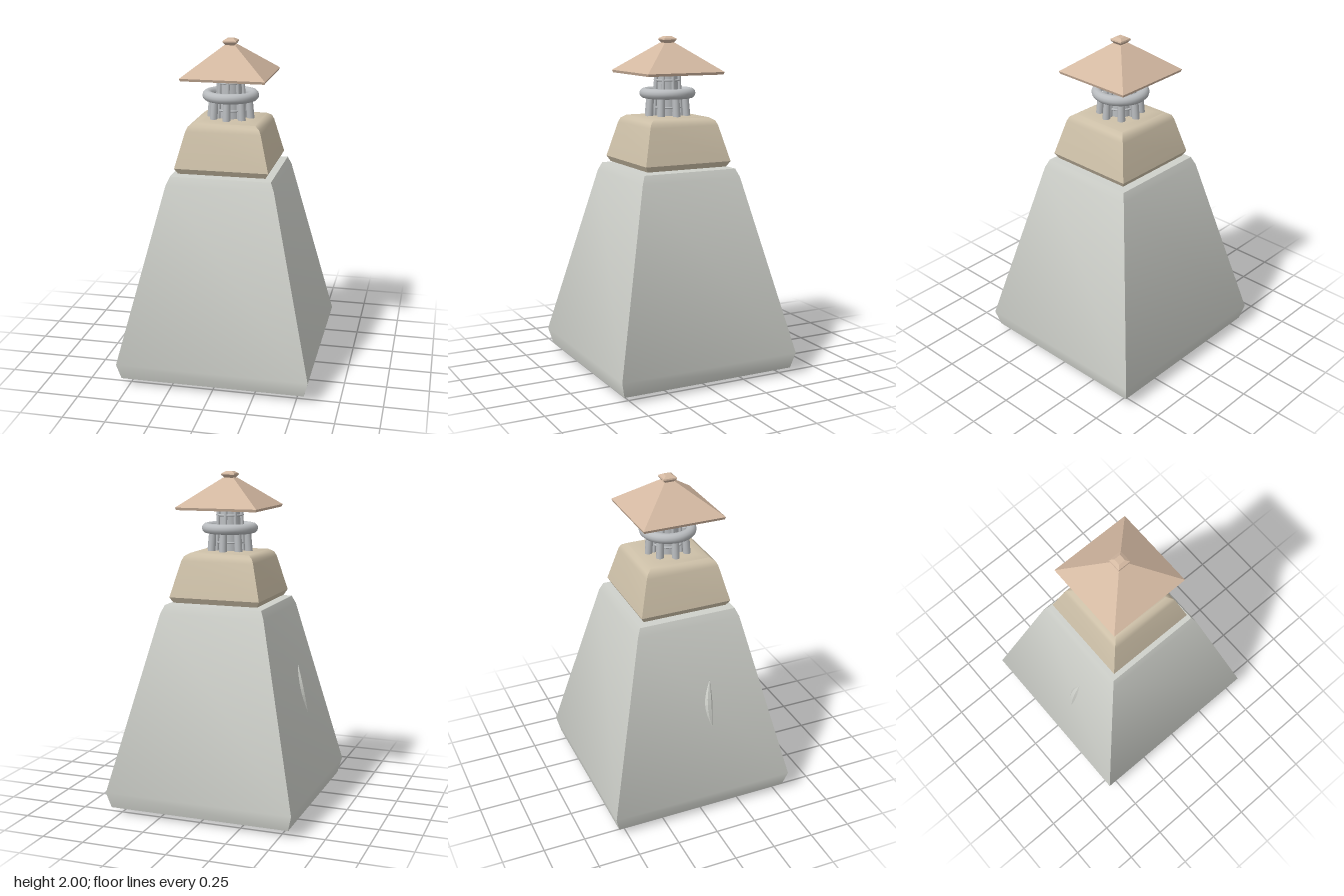
import * as THREE from 'three';
import { toCreasedNormals } from 'three/addons/utils/BufferGeometryUtils.js';

const paint = (color, extra = {}) => new THREE.MeshStandardMaterial({ color, ...extra });
const stone = paint(0xcfd1cb);
const sand = paint(0xcdc0a8);
const clay = paint(0xd3b8a1);
const metal = paint(0xb9bcbf);

function add(parent, name, geometry, material) {
  const mesh = new THREE.Mesh(geometry, material);
  mesh.name = name;
  parent.add(mesh);
  return mesh;
}

// Square tower section from [half width, height] pairs, listed bottom to top
function squareLoft(profile, crease = 0.7) {
  const points = profile.map(([w, y]) => new THREE.Vector2(w * Math.SQRT2, y));
  return toCreasedNormals(new THREE.LatheGeometry(points, 4, Math.PI / 4), crease);
}

// Round bar between two points
function bar(parent, name, a, b, rBottom, rTop) {
  const dir = b.clone().sub(a);
  const mesh = add(parent, name, new THREE.CylinderGeometry(rTop, rBottom, dir.length(), 10), metal);
  mesh.position.copy(a).add(b).multiplyScalar(0.5);
  mesh.quaternion.setFromUnitVectors(new THREE.Vector3(0, 1, 0), dir.normalize());
}

function ring(parent, name, radius, tube, y) {
  const mesh = add(parent, name, new THREE.TorusGeometry(radius, tube, 12, 40), metal);
  mesh.rotation.x = Math.PI / 2;
  mesh.position.y = y;
}

export function createModel() {
  const model = new THREE.Group();
  model.name = 'tower';

  add(model, 'body', squareLoft([
    [0, 0], [0.445, 0], [0.547, 0.04], [0.571, 0.135], [0.318, 1.184], [0.297, 1.232], [0, 1.236],
  ]), stone);

  add(model, 'upperBlock', squareLoft([
    [0, 1.238], [0.258, 1.242], [0.277, 1.275], [0.222, 1.485], [0.21, 1.512], [0.182, 1.53], [0.13, 1.536], [0, 1.537],
  ]), sand);

  // Lantern: core, leaning posts, upper bars and rings
  const lantern = new THREE.Group();
  lantern.name = 'lantern';
  model.add(lantern);
  const core = add(lantern, 'core', new THREE.CylinderGeometry(0.062, 0.075, 0.26, 16), metal);
  core.position.y = 1.66;
  for (let i = 0; i < 8; i++) {
    const a = (i / 8) * Math.PI * 2;
    const at = (r, y) => new THREE.Vector3(Math.sin(a) * r, y, Math.cos(a) * r);
    bar(lantern, 'post', at(0.12, 1.525), at(0.11, 1.66), 0.023, 0.02);
    bar(lantern, 'upperBar', at(0.085, 1.53), at(0.072, 1.79), 0.01, 0.01);
  }
  ring(lantern, 'railRing', 0.137, 0.03, 1.668);
  ring(lantern, 'lowerHoop', 0.083, 0.006, 1.585);
  ring(lantern, 'upperHoop', 0.076, 0.006, 1.745);

  add(model, 'roof', squareLoft([
    [0, 1.782], [0.243, 1.782], [0.248, 1.797], [0.033, 1.962], [0, 1.962],
  ], 0.4), clay);
  add(model, 'finial', squareLoft([
    [0, 1.955], [0.02, 1.955], [0.041, 1.98], [0.039, 1.988], [0.02, 2], [0, 2],
  ], 0.4), clay);

  // Curved spur lying on the sloping side wall
  const spur = new THREE.CylinderGeometry(1, 1, 1, 6, 8);
  const p = spur.attributes.position;
  for (let i = 0; i < p.count; i++) {
    const t = p.getY(i) + 0.5;
    const swell = Math.sin(Math.PI * t);
    const y = 0.56 + 0.29 * t;
    const wall = -0.571 + 0.241 * (y - 0.135);
    p.setXYZ(i,
      wall - 0.004 + p.getX(i) * 0.014 * swell,
      y,
      0.085 + 0.01 * t - 0.014 * swell + p.getZ(i) * 0.024 * swell);
  }
  spur.computeVertexNormals();
  add(model, 'spur', spur, paint(0xcfd1cb, { flatShading: true }));

  return model;
}
